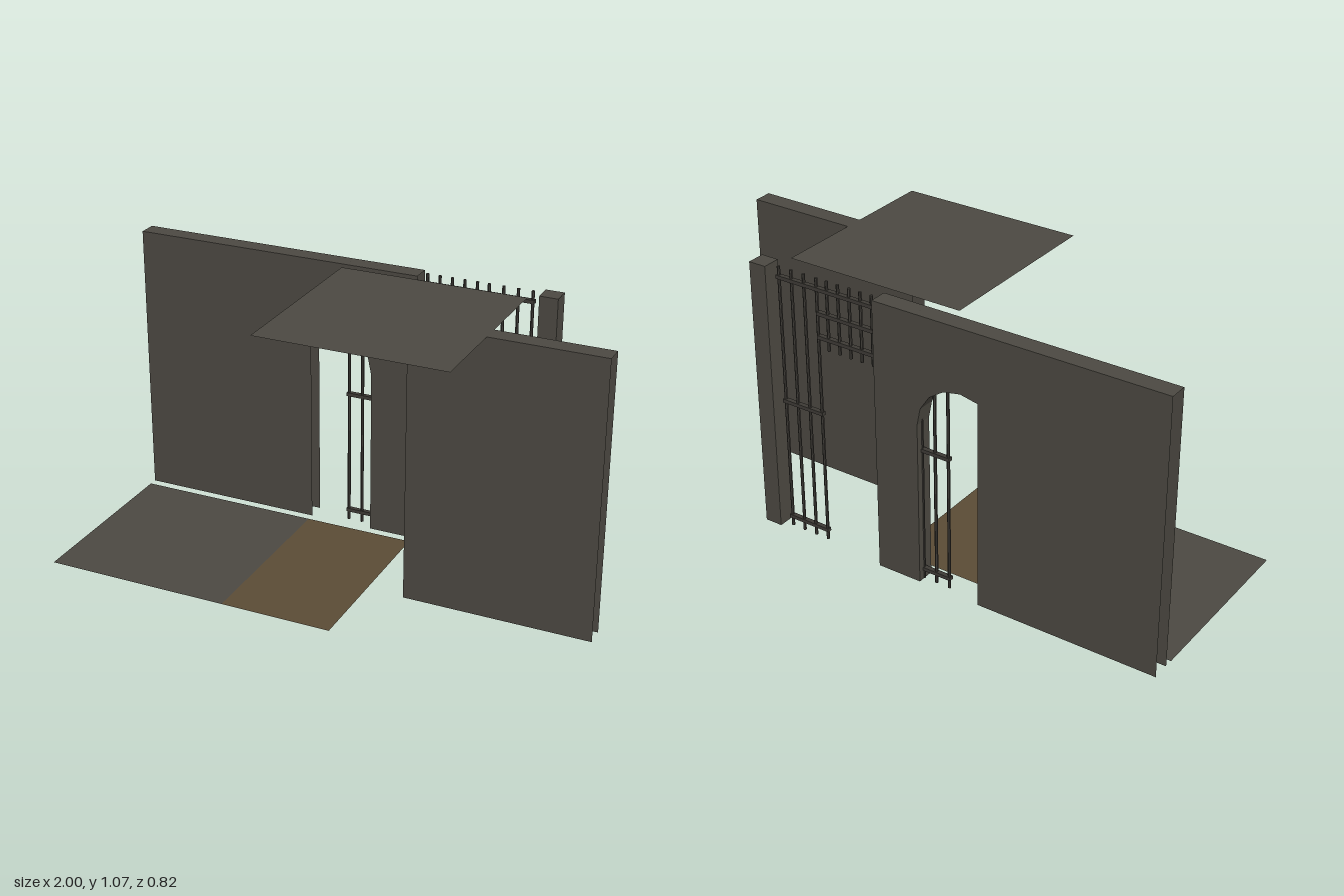
import * as THREE from 'three';

const H = 1.07;          // wall height
const W = 0.714;         // module width
const T = 0.07;          // wall thickness
const BACK_Z = -0.375;   // centre line of the rear wall

function flat(name, color) {
  const m = new THREE.MeshStandardMaterial({ color, side: THREE.DoubleSide, flatShading: true });
  m.name = name;
  return m;
}

export function createModel() {
  const stone = flat('stone', 0x4b4841);
  const earth = flat('brownFloor', 0x5a4b35);
  const iron = flat('iron', 0x3d3a35);
  const model = new THREE.Group();
  model.name = 'dungeonKit';

  const add = (parent, name, geometry, material, x = 0, y = 0, z = 0) => {
    const mesh = new THREE.Mesh(geometry, material);
    mesh.name = name;
    mesh.position.set(x, y, z);
    parent.add(mesh);
    return mesh;
  };
  const group = (name, x, z) => {
    const g = new THREE.Group();
    g.name = name;
    g.position.set(x, 0, z);
    model.add(g);
    return g;
  };

  // Horizontal sheet between two x limits
  const slab = (name, x0, x1, y, material) => {
    const g = new THREE.PlaneGeometry(x1 - x0, W).rotateX(-Math.PI / 2);
    add(model, name, g, material, (x0 + x1) / 2, y, 0.05);
  };
  slab('stoneFloor', -1, -0.286, 0.001, stone);
  slab('earthFloor', -0.286, 0.142, 0.001, earth);
  slab('ceiling', -0.143, 0.571, H, stone);

  // Wall module: two outlined faces and a top cap, open at ends and base
  const wall = (name, x, z, shape) => {
    const g = group(name, x, z);
    const face = new THREE.ShapeGeometry(shape);
    add(g, 'wallFront', face, stone, 0, 0, T / 2);
    add(g, 'wallBack', face, stone, 0, 0, -T / 2).rotation.y = Math.PI;
    add(g, 'wallTop', new THREE.PlaneGeometry(W, T).rotateX(-Math.PI / 2), stone, 0, H, 0);
    return g;
  };
  const h = W / 2;
  const rect = new THREE.Shape([[-h, 0], [h, 0], [h, H], [-h, H]].map(p => new THREE.Vector2(...p)));
  wall('plainWallRear', -1 + h, BACK_Z, rect);
  wall('plainWallFront', 1 - h, 0.05, rect);

  // Archway profile: straight jambs and an eight-sided half round
  const R = 0.178, SPRING = 0.647;
  const arch = [new THREE.Vector2(R, 0)];
  for (let i = 0; i <= 8; i++) {
    const a = (i / 8) * Math.PI;
    arch.push(new THREE.Vector2(R * Math.cos(a), SPRING + R * Math.sin(a)));
  }
  arch.push(new THREE.Vector2(-R, 0));
  const archShape = new THREE.Shape([
    new THREE.Vector2(h, 0), new THREE.Vector2(h, H), new THREE.Vector2(-h, H),
    new THREE.Vector2(-h, 0), ...arch.slice().reverse(),
  ]);
  const archWall = wall('archWall', -0.215, BACK_Z, archShape);

  // Inner lining of the arch
  const pos = [], index = [];
  arch.forEach((p, i) => {
    pos.push(p.x, p.y, T / 2, p.x, p.y, -T / 2);
    if (i) {
      const a = 2 * i - 2;
      index.push(a, a + 1, a + 2, a + 1, a + 3, a + 2);
    }
  });
  const lining = new THREE.BufferGeometry();
  lining.setAttribute('position', new THREE.Float32BufferAttribute(pos, 3));
  lining.setIndex(index);
  lining.computeVertexNormals();
  add(archWall, 'archLining', lining, stone);

  // Square pillar, open underneath
  const pillar = group('pillar', 0.638, BACK_Z);
  for (let i = 0; i < 4; i++) {
    const a = (i * Math.PI) / 2;
    add(pillar, 'pillarSide', new THREE.PlaneGeometry(T, H), stone,
      Math.sin(a) * T / 2, H / 2, Math.cos(a) * T / 2).rotation.y = a;
  }
  add(pillar, 'pillarTop', new THREE.PlaneGeometry(T, T).rotateX(-Math.PI / 2), stone, 0, H, 0);

  // Iron grilles: upright bars crossed by flat rails
  const grille = (name, x0, pitch, count, y0, rails, over) => {
    const g = group(name, x0, -0.38);
    const len = H - y0, span = pitch * (count - 1);
    for (let i = 0; i < count; i++) {
      add(g, 'bar', new THREE.CylinderGeometry(0.006, 0.006, len, 6), iron, i * pitch, y0 + len / 2, 0);
    }
    for (const y of rails) {
      add(g, 'rail', new THREE.BoxGeometry(span + 2 * over, 0.014, 0.018), iron, span / 2, y, 0);
    }
  };
  grille('archGate', -0.145, 0.055, 4, 0, [0.042, 0.536, 1.03], 0.008);
  grille('pillarGate', 0.402, 0.055, 4, 0, [0.042, 0.536, 1.03], 0.008);
  grille('upperGrille', 0.165, 0.048, 5, 0.8, [0.845, 0.937, 1.03], 0.045);

  return model;
}
